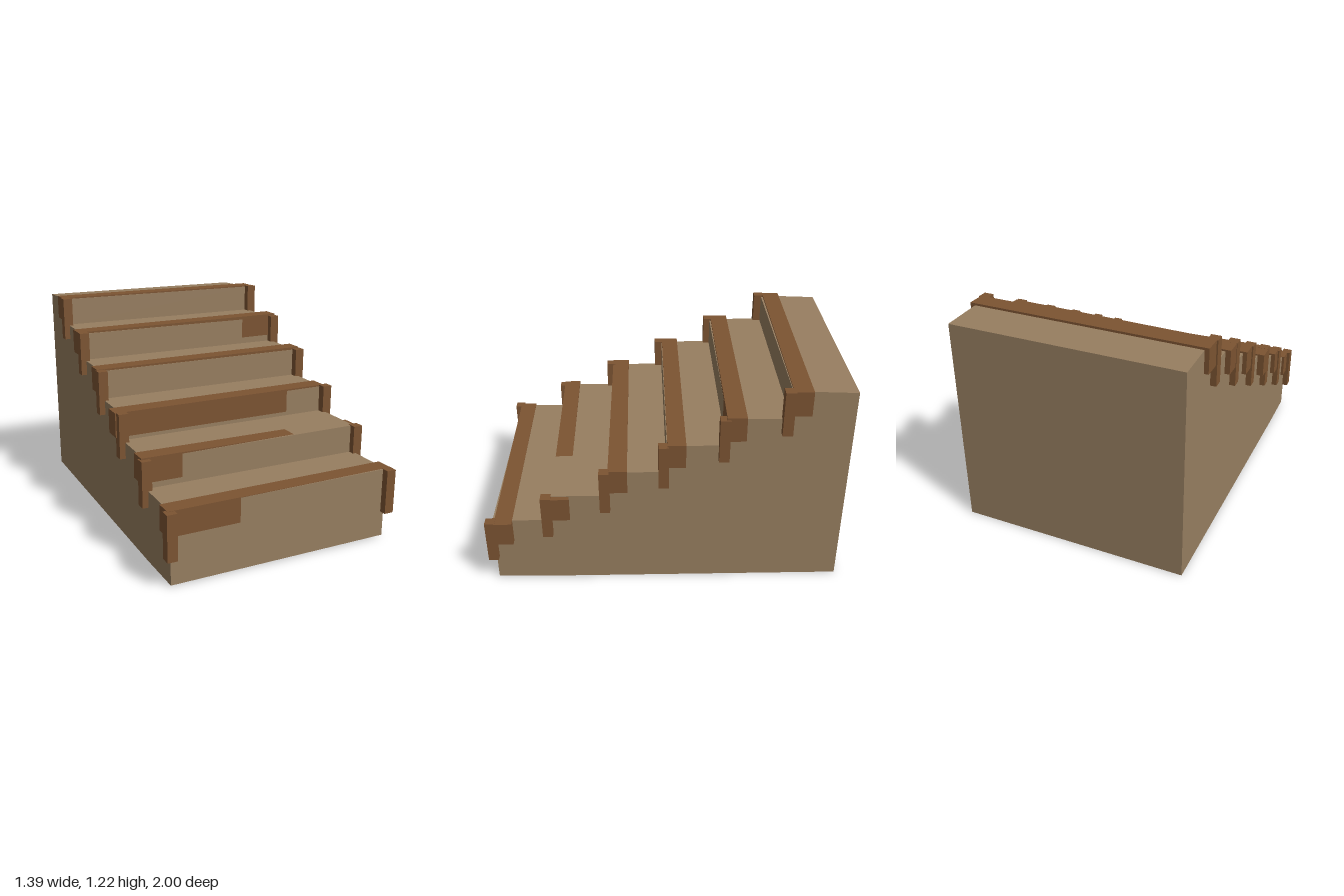
import * as THREE from 'three';

export function createModel() {
  const model = new THREE.Group();
  model.name = 'hillsideSteps';
  const earth = new THREE.MeshStandardMaterial({ color: 0x977e60 });
  earth.name = 'packed earth';
  const wood = new THREE.MeshStandardMaterial({ color: 0x7c5432 });
  wood.name = 'brown wood';

  function addBox(name, material, size, position, parent) {
    const mesh = new THREE.Mesh(new THREE.BoxGeometry(...size), material);
    mesh.name = name;
    mesh.position.set(...position);
    parent.add(mesh);
    return mesh;
  }

  // Each step: riser z, tread height, stake front z, stake top,
  // and its log as x range, centre y and z, depth, and slight yaw and roll
  const steps = [
    { z: 0.96, y: 0.41, stakeZ: 1.0, stakeY: 0.412, x: [-0.67, 0.69], logY: 0.342, logZ: 0.907, depth: 0.1, yaw: 0.011, roll: -0.003 },
    { z: 0.645, y: 0.572, stakeZ: 0.68, stakeY: 0.574, x: [-0.68, 0.68], logY: 0.505, logZ: 0.587, depth: 0.1, yaw: 0.018, roll: -0.012 },
    { z: 0.308, y: 0.725, stakeZ: 0.355, stakeY: 0.735, x: [-0.695, 0.66], logY: 0.664, logZ: 0.258, depth: 0.105, yaw: 0.006, roll: 0 },
    { z: -0.012, y: 0.89, stakeZ: 0.032, stakeY: 0.897, x: [-0.68, 0.675], logY: 0.833, logZ: -0.066, depth: 0.1, yaw: 0, roll: 0.004 },
    { z: -0.328, y: 1.05, stakeZ: -0.29, stakeY: 1.06, x: [-0.685, 0.68], logY: 0.995, logZ: -0.384, depth: 0.105, yaw: -0.008, roll: 0.008 },
    { z: -0.658, y: 1.212, stakeZ: -0.615, stakeY: 1.22, x: [-0.68, 0.68], logY: 1.15, logZ: -0.716, depth: 0.102, yaw: -0.007, roll: 0 },
  ];

  // Earth bank: stair profile extruded across the width, profile x runs backwards
  const profile = new THREE.Shape();
  profile.moveTo(1, 0);
  profile.lineTo(1, 1.198);
  for (let i = steps.length - 1; i >= 0; i--) {
    profile.lineTo(-steps[i].z, steps[i].y);
    profile.lineTo(-steps[i].z, i > 0 ? steps[i - 1].y : 0.008);
  }
  profile.lineTo(-0.65, 0);
  const bankGeometry = new THREE.ExtrudeGeometry(profile, { depth: 1.307, bevelEnabled: false });
  bankGeometry.rotateY(Math.PI / 2).translate(-0.655, 0, 0);
  const bank = new THREE.Mesh(bankGeometry, earth);
  bank.name = 'earthBank';
  model.add(bank);

  // Edging log and a pair of stakes for every step
  steps.forEach((s, i) => {
    const edging = new THREE.Group();
    edging.name = `stepEdging${i + 1}`;
    const [x0, x1] = s.x;
    const log = addBox('edgeLog', wood, [x1 - x0, 0.14, s.depth], [(x0 + x1) / 2, s.logY, s.logZ], edging);
    log.rotation.set(0, s.yaw, s.roll);
    for (const side of [-1, 1]) {
      addBox(side > 0 ? 'leftStake' : 'rightStake', wood, [0.056, 0.255, 0.056],
        [side * 0.66, s.stakeY - 0.1275, s.stakeZ - 0.028], edging);
    }
    model.add(edging);
  });

  return model;
}
